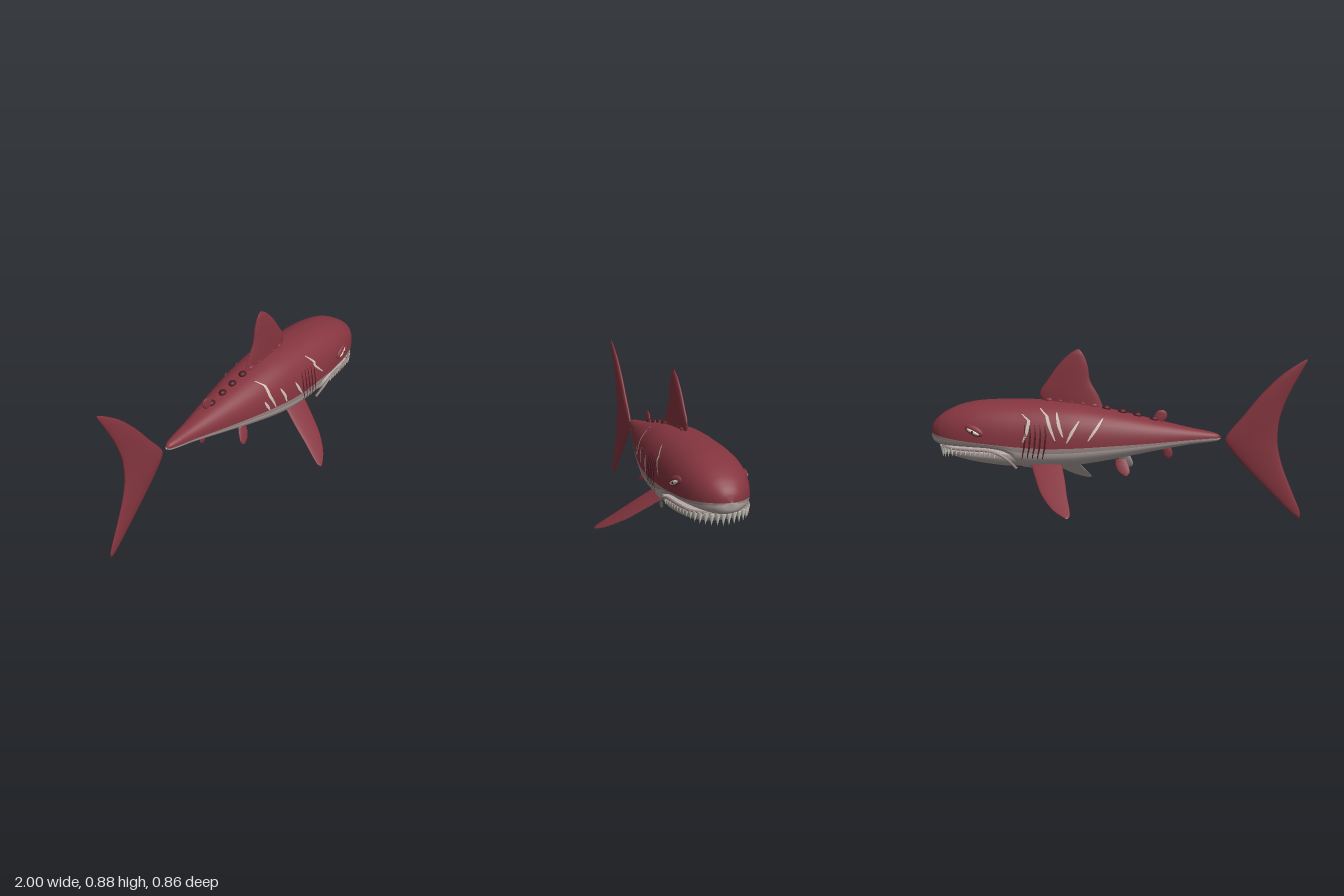
import * as THREE from 'three';

const mat = (name, color) => new THREE.MeshStandardMaterial({ name, color, side: THREE.DoubleSide });
const V = (x, y, z) => new THREE.Vector3(x, y, z);
const POWER = 2.35; // squareness of the body cross-section

// x, top, widest height, bottom, half width
const BODY = [
  [-0.56, 0.437, 0.43, 0.423, 0.005], [-0.545, 0.45, 0.43, 0.414, 0.018], [-0.5, 0.462, 0.429, 0.406, 0.032],
  [-0.4, 0.48, 0.423, 0.392, 0.052], [-0.2, 0.522, 0.41, 0.352, 0.1], [0, 0.565, 0.4, 0.308, 0.145],
  [0.2, 0.6, 0.39, 0.272, 0.178], [0.35, 0.612, 0.386, 0.258, 0.187], [0.5, 0.614, 0.392, 0.262, 0.187],
  [0.56, 0.613, 0.396, 0.335, 0.187], [0.64, 0.61, 0.402, 0.358, 0.184], [0.75, 0.6, 0.41, 0.362, 0.172],
  [0.85, 0.575, 0.418, 0.362, 0.148], [0.92, 0.54, 0.425, 0.363, 0.115], [0.96, 0.508, 0.43, 0.372, 0.08],
  [0.985, 0.475, 0.433, 0.39, 0.045], [0.997, 0.437, 0.435, 0.432, 0.004],
];
const JAW = [
  [0.47, 0.355, 0.345, 0.266, 0.16], [0.56, 0.36, 0.35, 0.262, 0.176], [0.65, 0.36, 0.35, 0.27, 0.174],
  [0.75, 0.36, 0.35, 0.284, 0.16], [0.84, 0.36, 0.35, 0.303, 0.13], [0.89, 0.36, 0.352, 0.322, 0.095],
  [0.91, 0.36, 0.353, 0.34, 0.05], [0.915, 0.357, 0.355, 0.353, 0.005],
];

// Smooth interpolation of a profile table at x
function sample(table, x) {
  let i = 0;
  while (i < table.length - 2 && x > table[i + 1][0]) i++;
  const a = table[i], b = table[i + 1], p = table[i - 1] || a, q = table[i + 2] || b;
  const w = b[0] - a[0], t = (x - a[0]) / w, t2 = t * t, t3 = t2 * t;
  return [1, 2, 3, 4].map((k) => {
    const m0 = ((b[k] - p[k]) / (b[0] - p[0])) * w, m1 = ((q[k] - a[k]) / (q[0] - a[0])) * w;
    return (2 * t3 - 3 * t2 + 1) * a[k] + (t3 - 2 * t2 + t) * m0 + (3 * t2 - 2 * t3) * b[k] + (t3 - t2) * m1;
  });
}

// Half width of the body surface at a given x and height
function flank(x, y) {
  const [top, mid, bottom, hw] = sample(BODY, x);
  const r = Math.min(1, Math.abs(y - mid) / (y > mid ? top - mid : mid - bottom));
  return hw * Math.pow(1 - Math.pow(r, POWER), 1 / POWER);
}

// Skin closed rings of points; slot(j, n) picks the material of each strip
function loft(name, rings, materials, slot = () => 0) {
  const n = rings[0].length, g = new THREE.BufferGeometry().setFromPoints(rings.flat());
  const lists = materials.map(() => []);
  for (let i = 0; i < rings.length - 1; i++) for (let j = 0; j < n; j++) {
    const a = i * n + j, b = i * n + ((j + 1) % n);
    lists[slot(j, n)].push(a, b, a + n, b, b + n, a + n);
  }
  g.setIndex(lists.flat());
  let start = 0;
  lists.forEach((l, k) => { g.addGroup(start, l.length, k); start += l.length; });
  g.computeVertexNormals();
  const mesh = new THREE.Mesh(g, materials);
  mesh.name = name;
  return mesh;
}

function hull(name, table, steps, materials, slot) {
  const xs = table.map((r) => r[0]), rings = [];
  for (let i = 0; i < xs.length - 1; i++) {
    for (let s = 0; s < steps; s++) rings.push(xs[i] + ((xs[i + 1] - xs[i]) * s) / steps);
  }
  rings.push(xs[xs.length - 1]);
  const N = 40, pw = (v) => Math.sign(v) * Math.pow(Math.abs(v), 2 / POWER);
  return loft(name, rings.map((x) => {
    const [top, mid, bottom, hw] = sample(table, x);
    return Array.from({ length: N }, (_, j) => {
      const c = Math.cos((j / N) * 2 * Math.PI), s = Math.sin((j / N) * 2 * Math.PI);
      return V(x, mid + pw(c) * (c > 0 ? top - mid : mid - bottom), pw(s) * hw);
    });
  }), materials, slot);
}

// Fin with a lens section: rows of [leading point, trailing point, half thickness]
function fin(name, rows, normal, materials, slot) {
  const N = 20, curve = (k) => new THREE.CatmullRomCurve3(rows.map((r) => r[k]));
  const lead = curve(0), trail = curve(1), steps = (rows.length - 1) * 4;
  const rings = [];
  for (let i = 0; i <= steps; i++) {
    const t = i / steps, f = t * (rows.length - 1), k = Math.min(rows.length - 2, Math.floor(f));
    const thick = THREE.MathUtils.lerp(rows[k][2], rows[k + 1][2], f - k);
    const a = lead.getPoint(t), b = trail.getPoint(t);
    const mid = a.clone().add(b).multiplyScalar(0.5), half = a.clone().sub(mid);
    rings.push(Array.from({ length: N }, (_, j) => {
      const u = (j / N) * 2 * Math.PI;
      return mid.clone().addScaledVector(half, Math.cos(u)).addScaledVector(normal, Math.sin(u) * thick);
    }));
  }
  return loft(name, rings, materials, slot);
}

export function createModel() {
  const model = new THREE.Group();
  model.name = 'shark';
  const red = mat('deep red skin', 0x85353f), band = mat('taupe band', 0x9a8784), pale = mat('pale belly', 0xb8aca9);
  const dark = mat('dark red', 0x4c1a22), ivory = mat('ivory teeth', 0xd6d2c8), scarMat = mat('pale scar', 0xc9bab2);
  const add = (name, geometry, material) => {
    const m = new THREE.Mesh(geometry, material);
    m.name = name;
    model.add(m);
    return m;
  };

  // Body with red back, narrow band and pale belly; separate lower jaw
  model.add(hull('body', BODY, 5, [red, band, pale], (j, n) => {
    const k = Math.min(j, n - 1 - j);
    return k < n / 4 ? 0 : k < n / 4 + 1 ? 1 : 2;
  }));
  model.add(hull('lowerJaw', JAW, 4, [pale]));

  // Upright fins: rows of height, leading x, trailing x, half thickness
  const upright = (name, rows) => model.add(
    fin(name, rows.map(([y, a, b, t]) => [V(a, y, 0), V(b, y, 0), t]), V(0, 0, 1), [red]));
  upright('dorsalFin', [[0.58, 0.37, 0.06, 0.017], [0.65, 0.402, 0.09, 0.017], [0.72, 0.36, 0.13, 0.016],
    [0.8, 0.302, 0.143, 0.014], [0.86, 0.242, 0.166, 0.009], [0.887, 0.2, 0.188, 0.001]]);
  upright('tailFin', [[0.008, -0.975, -0.985, 0.001], [0.03, -0.945, -0.988, 0.005], [0.15, -0.82, -0.94, 0.011],
    [0.28, -0.69, -0.888, 0.015], [0.37, -0.612, -0.864, 0.017], [0.42, -0.585, -0.858, 0.017],
    [0.47, -0.612, -0.858, 0.017], [0.54, -0.67, -0.866, 0.017], [0.65, -0.755, -0.902, 0.015],
    [0.76, -0.86, -0.955, 0.011], [0.83, -0.955, -0.992, 0.005], [0.85, -0.99, -1, 0.001]]);
  upright('secondDorsalFin', [[0.5, -0.2, -0.25, 0.01], [0.535, -0.208, -0.278, 0.009],
    [0.56, -0.222, -0.274, 0.006], [0.572, -0.24, -0.255, 0.001]]);
  upright('analFin', [[0.385, -0.24, -0.29, 0.01], [0.35, -0.256, -0.308, 0.009],
    [0.325, -0.265, -0.306, 0.006], [0.31, -0.28, -0.292, 0.001]]);

  // Low knobs along the spine
  for (const x of [-0.21, -0.12, -0.04, 0.045, 0.11, 0.17, 0.23, 0.29, 0.35]) {
    const knob = add('spineKnob', new THREE.SphereGeometry(1, 16, 10), x < 0.1 ? dark : red);
    knob.scale.set(0.024, 0.016, 0.019);
    knob.position.set(x, sample(BODY, x)[0] + 0.002, 0);
  }

  // Thin strip following the flank through [x, y] points
  const ribbon = (name, pts, width, side, material) => {
    const path = new THREE.CurvePath();
    for (let i = 0; i < pts.length - 1; i++) {
      path.add(new THREE.LineCurve(new THREE.Vector2(...pts[i]), new THREE.Vector2(...pts[i + 1])));
    }
    const verts = [], index = [], N = 18;
    for (let i = 0; i <= N; i++) {
      const p = path.getPoint(i / N), w = width * (0.35 + 0.65 * Math.sin((i / N) * Math.PI));
      for (const x of [p.x - w, p.x, p.x + w]) verts.push(V(x, p.y, side * (flank(x, p.y) + 0.004)));
      const a = i * 3;
      if (i < N) for (const k of [a, a + 1]) index.push(k, k + 3, k + 1, k + 1, k + 3, k + 4);
    }
    if (side < 0) index.reverse();
    const g = new THREE.BufferGeometry().setFromPoints(verts);
    g.setIndex(index);
    g.computeVertexNormals();
    add(name, g, material);
  };

  const scars = {
    1: [[[0.05, 0.56], [0.08, 0.535], [0.085, 0.48], [0.12, 0.4]], [[0.045, 0.46], [0.075, 0.4]],
      [[0.165, 0.49], [0.19, 0.44], [0.2, 0.4]], [[0.28, 0.48], [0.305, 0.43], [0.33, 0.39]],
      [[0.42, 0.565], [0.465, 0.52], [0.46, 0.5], [0.52, 0.44]]],
    [-1]: [[[0.05, 0.54], [0.08, 0.49], [0.12, 0.43]], [[0.17, 0.53], [0.2, 0.48], [0.23, 0.42]],
      [[0.38, 0.588], [0.34, 0.555], [0.32, 0.5], [0.29, 0.43]], [[0.29, 0.57], [0.27, 0.5], [0.25, 0.45]],
      [[0.47, 0.56], [0.43, 0.53], [0.44, 0.47], [0.46, 0.42]]],
  };

  for (const s of [1, -1]) {
    // Pectoral and pelvic fins, red above and pale below
    const paired = (name, root, tip, rows) => {
      const dy = tip[0] - root[0], dz = (tip[1] - root[1]) * s, normal = V(0, Math.abs(dz), -dy * s).normalize();
      model.add(fin(name, rows.map(([t, a, b, th]) => {
        const y = root[0] + dy * t, z = root[1] * s + dz * t;
        return [V(a, y, z), V(b, y, z), th];
      }), normal, [red, pale], (j, n) => (j < n / 2 ? 0 : 1)));
    };
    paired('pectoralFin', [0.295, 0.13], [0.087, 0.428], [[0, 0.43, 0.265, 0.01], [0.3, 0.39, 0.235, 0.01],
      [0.6, 0.342, 0.21, 0.008], [0.85, 0.275, 0.186, 0.005], [0.96, 0.225, 0.181, 0.003], [1, 0.2, 0.19, 0.001]]);
    paired('pelvicFin', [0.315, 0.065], [0.235, 0.106], [[0, -0.01, -0.07, 0.008], [0.45, -0.016, -0.085, 0.007],
      [0.8, -0.035, -0.09, 0.004], [1, -0.065, -0.078, 0.001]]);

    // Gill slits and scars
    for (let i = 0; i < 5; i++) {
      const x = 0.345 + i * 0.027;
      ribbon('gillSlit', [[x, 0.51], [x - 0.006, 0.46], [x, 0.39], [x + 0.014, 0.33]], 0.005, s, dark);
    }
    scars[s].forEach((pts) => ribbon('scar', pts, 0.009, s, scarMat));

    // Slanted eye: swollen lid, pale eye and dark pupil
    const eyePart = (name, material, size, x, y, out) => {
      const e = add(name, new THREE.SphereGeometry(1, 24, 14), material);
      e.scale.set(...size);
      e.position.set(x, y, s * (flank(x, y) + out));
      e.rotation.set(0, s * 0.2, 0.4);
    };
    eyePart('eyelid', red, [0.055, 0.026, 0.014], 0.722, 0.472, 0);
    eyePart('eye', ivory, [0.04, 0.011, 0.012], 0.725, 0.467, 0.006);
    eyePart('pupil', dark, [0.01, 0.008, 0.008], 0.727, 0.467, 0.012);
  }

  // Mouth edge running around the snout
  const half = [[0.5, 0.275, 0.166], [0.55, 0.328, 0.184], [0.62, 0.361, 0.182], [0.75, 0.367, 0.168],
    [0.85, 0.367, 0.142], [0.905, 0.37, 0.1], [0.927, 0.366, 0.05]];
  const lip = new THREE.CatmullRomCurve3([...half.map(([x, y, z]) => V(x, y, z)), V(0.933, 0.363, 0),
    ...half.slice().reverse().map(([x, y, z]) => V(x, y, -z))]);
  add('lip', new THREE.TubeGeometry(lip, 90, 0.007, 8), band);

  // Upper teeth, longest at the front
  const COUNT = 32;
  for (let i = 0; i < COUNT; i++) {
    const p = lip.getPointAt(0.13 + (0.74 * i) / (COUNT - 1));
    const front = THREE.MathUtils.smoothstep(p.x, 0.8, 0.92), h = 0.034 + 0.024 * front;
    const tooth = add('tooth', new THREE.ConeGeometry(0.009 + 0.005 * front, h, 10), ivory);
    tooth.position.set(p.x, p.y - h / 2, p.z);
    tooth.rotation.x = Math.PI - p.z * 0.6;
  }
  return model;
}
